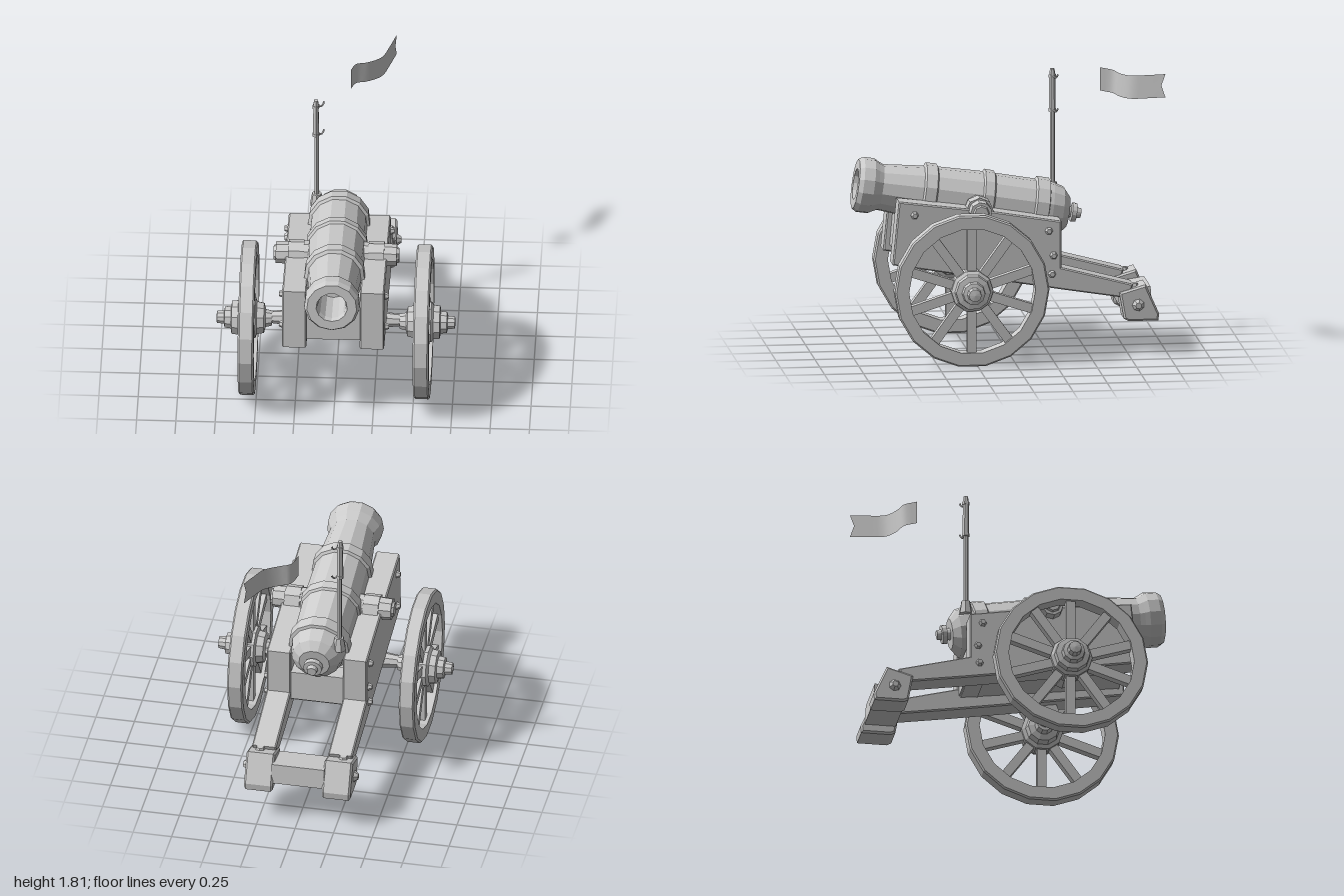
import * as THREE from 'three';

const grey = new THREE.MeshStandardMaterial({ color: 0xcccccc, flatShading: true });
const thin = new THREE.MeshStandardMaterial({ color: 0xcccccc, side: THREE.DoubleSide });

function add(parent, name, geometry, x = 0, y = 0, z = 0, material = grey) {
  const mesh = new THREE.Mesh(geometry, material);
  mesh.name = name;
  mesh.position.set(x, y, z);
  parent.add(mesh);
  return mesh;
}

const lathe = (points, sides) =>
  new THREE.LatheGeometry(points.map(([r, y]) => new THREE.Vector2(r, y)), sides);

// Extrudes a [z, y] outline sideways from x0 to x1
function sidePlate(outline, x0, x1, bevel = 0) {
  const shape = new THREE.Shape(outline.map(([z, y]) => new THREE.Vector2(z, y)));
  const geometry = new THREE.ExtrudeGeometry(shape, {
    depth: x1 - x0 - 2 * bevel, bevelEnabled: bevel > 0, bevelSize: bevel,
    bevelOffset: -bevel, bevelThickness: bevel, bevelSegments: 1,
  });
  return geometry.rotateY(-Math.PI / 2).translate(x1 - bevel, 0, 0);
}

// Cylinder lying along x; rOut is the radius at its +x end
const crossPin = (rOut, rIn, length, sides) =>
  new THREE.CylinderGeometry(rIn, rOut, length, sides).rotateZ(Math.PI / 2);

function createBarrel() {
  const barrel = new THREE.Group();
  barrel.name = 'barrel';
  // Profile as [radius, distance behind the muzzle], from knob to bore
  const profile = [
    [0, 1.46], [0.03, 1.46], [0.035, 1.432], [0.06, 1.43], [0.062, 1.4], [0.035, 1.395],
    [0.04, 1.375], [0.1, 1.375], [0.155, 1.33], [0.175, 1.26], [0.178, 1.235],
    [0.198, 1.23], [0.2, 1.15], [0.182, 1.14], [0.185, 0.88], [0.2, 0.87], [0.202, 0.81],
    [0.186, 0.8], [0.178, 0.51], [0.196, 0.5], [0.194, 0.43], [0.172, 0.42], [0.148, 0.16],
    [0.162, 0.13], [0.178, 0.1], [0.178, 0.03], [0.16, 0], [0.1, 0], [0.09, 0.03], [0.085, 0.3], [0, 0.3],
  ].map(([r, s]) => [r, -s]);
  add(barrel, 'gunTube', lathe(profile, 13));
  barrel.rotation.x = Math.PI / 2 - 0.154;
  barrel.position.set(0, 1.09, 0.96);
  return barrel;
}

function createWheel() {
  const wheel = new THREE.Group();
  wheel.name = 'wheel';
  const rim = [[0.405, -0.05], [0.485, -0.05], [0.495, -0.04], [0.495, 0.04], [0.485, 0.05], [0.405, 0.05], [0.405, -0.05]];
  add(wheel, 'rim', lathe(rim, 18).rotateZ(-Math.PI / 2));
  // Stepped hub, inner end first
  const hub = [
    [0, -0.15], [0.05, -0.15], [0.06, -0.11], [0.1, -0.1], [0.11, -0.055], [0.135, -0.045], [0.135, 0.05],
    [0.115, 0.065], [0.11, 0.105], [0.075, 0.11], [0.07, 0.15], [0.045, 0.155], [0.04, 0.2], [0, 0.205],
  ];
  add(wheel, 'hub', lathe(hub, 10).rotateZ(-Math.PI / 2));
  for (let i = 0; i < 10; i++) {
    const spoke = new THREE.BoxGeometry(0.055, 0.33, 0.06).translate(0, 0.265, 0);
    add(wheel, 'spoke', spoke).rotation.x = (i / 10) * Math.PI * 2;
  }
  return wheel;
}

// Everything that appears once on each side, built for +x
function createSide() {
  const side = new THREE.Group();
  const cheek = [
    [0.76, 0.62], [-0.34, 0.435], [-0.75, 0.37], [-0.78, 0.46], [-0.32, 0.58],
    [-0.32, 0.88], [0.1, 0.95], [0.72, 1.03],
  ].reverse();
  add(side, 'cheek', sidePlate(cheek, 0.17, 0.325, 0.008));
  const block = [[-0.69, 0.41], [-0.72, 0.24], [-0.75, 0.225], [-0.94, 0.225], [-0.945, 0.27], [-0.86, 0.46]];
  add(side, 'trailBlock', sidePlate(block.reverse(), 0.16, 0.345, 0.012));
  add(side, 'trailBolt', crossPin(0.02, 0.045, 0.035, 7), 0.355, 0.33, -0.81);
  add(side, 'trailNut', new THREE.CylinderGeometry(0.025, 0.035, 0.03, 6), 0.27, 0.445, -0.79);

  // Trunnion with its clamp
  add(side, 'trunnion', crossPin(0.07, 0.08, 0.22, 9), 0.275, 0.955, 0.2);
  add(side, 'trunnionCap', crossPin(0.045, 0.06, 0.03, 8), 0.385, 0.955, 0.2);
  add(side, 'trunnionClamp', crossPin(0.09, 0.09, 0.1, 8), 0.255, 0.95, 0.2);

  for (const [z, y] of [[0.62, 0.94], [0.62, 0.7], [-0.24, 0.82], [-0.26, 0.54], [-0.27, 0.66]]) {
    add(side, 'cheekBolt', crossPin(0.016, 0.028, 0.03, 6), 0.335, y, z);
  }
  add(side, 'axle', crossPin(0.035, 0.06, 0.22, 8), 0.34, 0.505, 0.285);
  const wheel = createWheel();
  wheel.position.set(0.557, 0.495, 0.285);
  side.add(wheel);
  return side;
}

// Turns a group into its mirror image, keeping faces outward
function mirrorX(group) {
  group.traverse((o) => {
    o.position.x *= -1;
    if (!o.isMesh) return;
    o.geometry.scale(-1, 1, 1);
    if (!o.geometry.index) {
      const n = o.geometry.attributes.position.count;
      o.geometry.setIndex([...Array(n).keys()]);
    }
    const index = o.geometry.index;
    for (let i = 0; i < index.count; i += 3) {
      const a = index.getX(i);
      index.setX(i, index.getX(i + 1));
      index.setX(i + 1, a);
    }
  });
  return group;
}

function createPole() {
  const pole = new THREE.Group();
  pole.name = 'flagpole';
  add(pole, 'socket', new THREE.CylinderGeometry(0.03, 0.045, 0.09, 7), 0.005, 1.0, 0);
  add(pole, 'lowerPole', new THREE.CylinderGeometry(0.016, 0.016, 0.55, 6), 0.004, 1.24, 0);
  add(pole, 'upperPole', new THREE.CylinderGeometry(0.019, 0.022, 0.24, 6), 0, 1.62, 0);
  add(pole, 'poleTip', new THREE.CylinderGeometry(0.014, 0.02, 0.04, 6), 0, 1.758, 0);
  for (const y of [1.51, 1.73]) {
    add(pole, 'collar', new THREE.CylinderGeometry(0.024, 0.024, 0.02, 6), 0, y, 0);
    const hook = new THREE.CatmullRomCurve3([
      new THREE.Vector3(0.01, y, 0), new THREE.Vector3(0.04, y - 0.005, -0.02), new THREE.Vector3(0.05, y + 0.02, -0.03),
    ]);
    add(pole, 'hook', new THREE.TubeGeometry(hook, 4, 0.006, 5));
  }
  pole.position.set(-0.152, 0, -0.32);
  return pole;
}

// Rippling strip with a notched end
function createFlag() {
  const path = new THREE.CatmullRomCurve3(
    [[0.06, -0.6], [0.09, -0.68], [0.16, -0.71], [0.25, -0.77], [0.29, -0.86], [0.335, -0.985]]
      .map(([x, z]) => new THREE.Vector3(x, 0, z)));
  const columns = 14;
  const geometry = new THREE.PlaneGeometry(1, 1, columns, 2);
  const position = geometry.attributes.position;
  for (let i = 0; i < position.count; i++) {
    const u = position.getX(i) + 0.5;
    const v = position.getY(i);
    const p = path.getPoint(u);
    const notch = u > 0.99 && v === 0 ? 0.025 : 0;
    position.setXYZ(i, p.x - notch * 0.3, 1.745 + v * 0.15 - 0.022 * Math.sin(u * Math.PI), p.z + notch);
  }
  geometry.computeVertexNormals();
  return geometry;
}

export function createModel() {
  const cannon = new THREE.Group();
  cannon.name = 'fieldCannon';
  cannon.add(createBarrel(), createPole());

  const left = createSide();
  left.name = 'leftSide';
  const right = mirrorX(createSide());
  right.name = 'rightSide';
  cannon.add(left, right);

  // Cross members between the cheeks
  const floor = [[0.7, 0.66], [0.7, 0.72], [-0.3, 0.58], [-0.3, 0.52]].reverse();
  add(cannon, 'floorPlate', sidePlate(floor, -0.175, 0.175));
  const transom = [[0.72, 0.66], [0.7, 0.88], [0.56, 0.88], [0.58, 0.66]];
  add(cannon, 'frontTransom', sidePlate(transom, -0.175, 0.175));
  add(cannon, 'rearTransom', new THREE.BoxGeometry(0.35, 0.2, 0.12), 0, 0.63, -0.25);
  const beam = [[-0.7, 0.385], [-0.91, 0.415], [-0.92, 0.28], [-0.72, 0.28]];
  add(cannon, 'trailBeam', sidePlate(beam, -0.17, 0.17));

  add(cannon, 'flag', createFlag(), 0, 0, 0, thin);
  return cannon;
}
